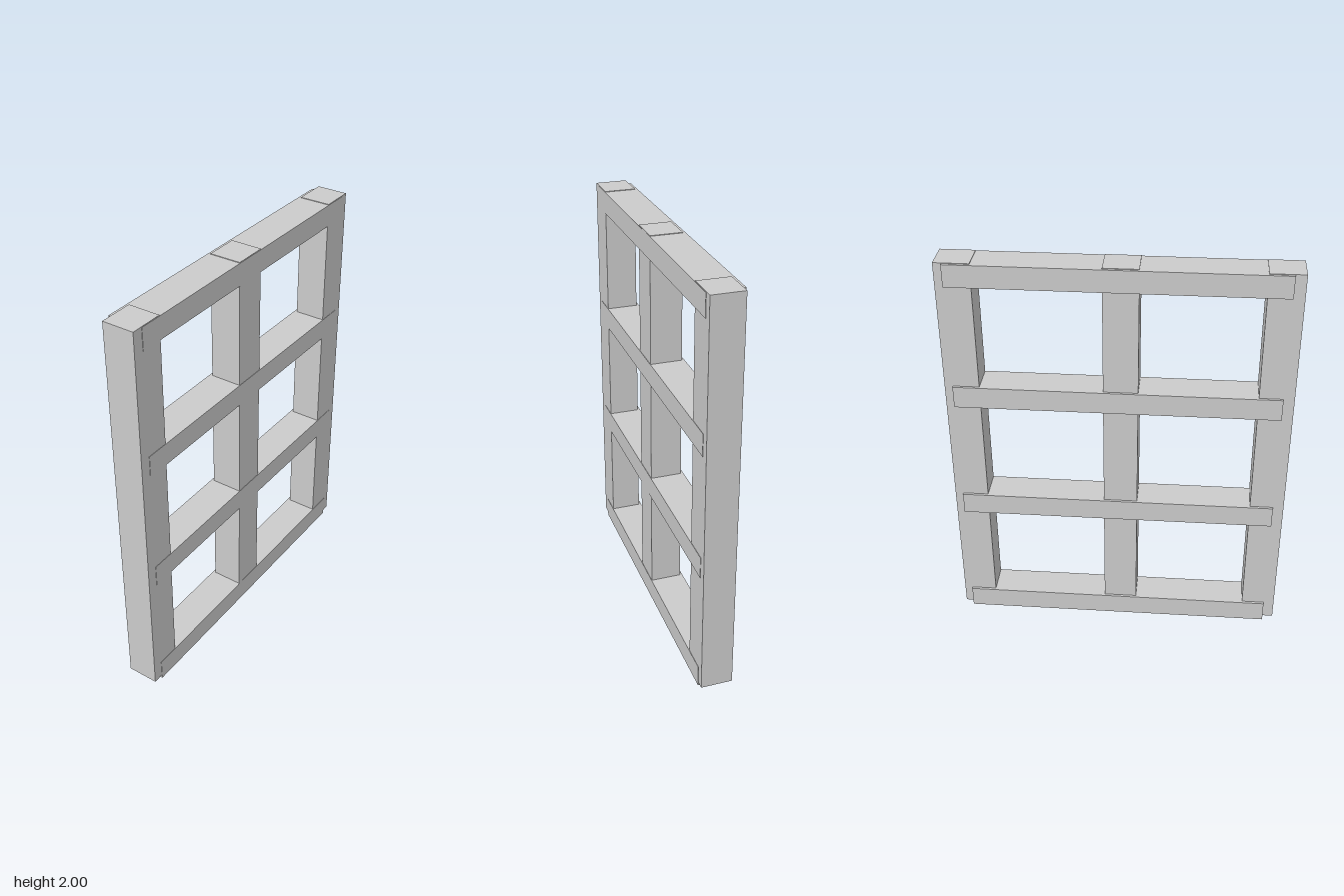
import * as THREE from 'three';

// Box given by its min and max corners
function block(name, material, [x0, y0, z0], [x1, y1, z1]) {
  const geometry = new THREE.BoxGeometry(x1 - x0, y1 - y0, z1 - z0);
  const mesh = new THREE.Mesh(geometry, material);
  mesh.position.set((x0 + x1) / 2, (y0 + y1) / 2, (z0 + z1) / 2);
  mesh.name = name;
  return mesh;
}

export function createModel() {
  const group = new THREE.Group();
  group.name = 'latticeFrame';
  const material = new THREE.MeshStandardMaterial({ color: 0xcccccc, flatShading: true });

  // Upright posts: front, middle (slightly off centre) and back
  const posts = { frontPost: [0.663, 0.83], middlePost: [-0.071, 0.096], backPost: [-0.83, -0.663] };
  for (const [name, [z0, z1]] of Object.entries(posts)) {
    group.add(block(name, material, [-0.074, 0.018, z0], [0.082, 2, z1]));
  }

  // Four evenly spaced rails, shorter than the frame and proud of the posts on the -x side
  for (let i = 0; i < 4; i++) {
    const y = i * 0.629;
    group.add(block(`rail${i + 1}`, material, [-0.087, y, -0.79], [0.084, y + 0.11, 0.777]));
  }
  return group;
}
